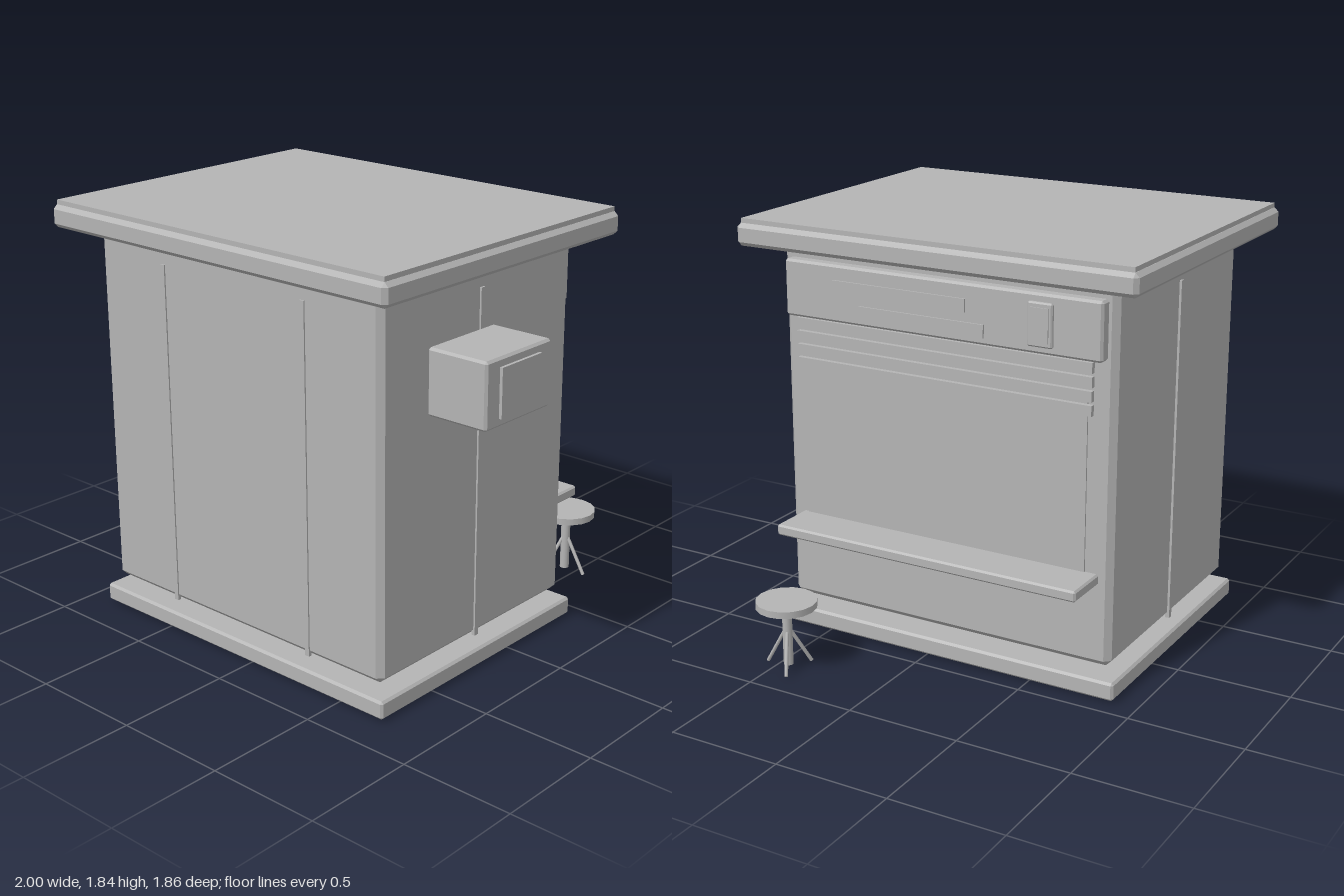
import * as THREE from 'three';
import { ConvexGeometry } from 'three/addons/geometries/ConvexGeometry.js';

export function createModel() {
  const kiosk = new THREE.Group();
  kiosk.name = 'kiosk';
  const grey = new THREE.MeshStandardMaterial({ color: 0xb4b4b4 });
  grey.name = 'plain grey';

  const add = (name, geometry, parent = kiosk) => {
    const mesh = new THREE.Mesh(geometry, grey);
    mesh.name = name;
    parent.add(mesh);
    return mesh;
  };

  // Box given by its limits on each axis; c is the chamfer on every edge
  const block = (name, [x0, x1], [y0, y1], [z0, z1], c = 0) => {
    const half = [(x1 - x0) / 2, (y1 - y0) / 2, (z1 - z0) / 2];
    let geometry;
    if (c > 0) {
      const points = [];
      for (const sx of [-1, 1]) for (const sy of [-1, 1]) for (const sz of [-1, 1]) {
        const signs = [sx, sy, sz];
        for (let axis = 0; axis < 3; axis++) {
          const p = half.map((h, i) => signs[i] * (i === axis ? h : h - c));
          points.push(new THREE.Vector3(...p));
        }
      }
      geometry = new ConvexGeometry(points);
    } else {
      geometry = new THREE.BoxGeometry(...half.map((h) => h * 2));
    }
    geometry.translate((x0 + x1) / 2, (y0 + y1) / 2, (z0 + z1) / 2);
    return add(name, geometry);
  };

  // Base, walls and roof
  block('basePlinth', [-0.895, 0.74], [0.01, 0.09], [-0.425, 0.83], 0.01);
  block('walls', [-0.858, 0.703], [0.135, 1.76], [-0.387, 0.795], 0.026);
  block('roof', [-1.0, 0.842], [1.728, 1.825], [-0.531, 0.93], 0.018);
  block('roofCap', [-0.98, 0.823], [1.82, 1.845], [-0.512, 0.912]);

  // Wall seams: two on the front, one on each side
  for (const x of [-0.47, 0.31]) {
    block('frontSeam', [x - 0.011, x + 0.011], [0.135, 1.635], [0.785, 0.801]);
  }
  for (const [x0, x1] of [[-0.868, -0.85], [0.695, 0.711]]) {
    block('sideSeam', [x0, x1], [0.135, 1.635], [0.19, 0.213]);
  }

  // Air conditioner on the left wall
  block('airConditioner', [0.7, 0.985], [1.19, 1.467], [0.122, 0.525], 0.01);
  block('airConditionerGrille', [0.98, 0.998], [1.226, 1.43], [0.2, 0.445]);

  // Serving side: window, shutter slats and counter
  block('servingWindow', [-0.74, 0.61], [0.53, 1.27], [-0.394, -0.38]);
  for (let i = 0; i < 4; i++) {
    const y = 1.404 - i * 0.058;
    block('shutterSlat', [-0.77, 0.62], [y - 0.022, y + 0.022], [-0.422, -0.4]);
  }
  block('counter', [-0.8, 0.638], [0.492, 0.54], [-0.592, -0.38], 0.008);

  // Sign board with raised bars and a small lamp box
  block('signBoard', [-0.82, 0.66], [1.434, 1.678], [-0.44, -0.38], 0.01);
  block('upperSignBar', [-0.215, 0.415], [1.56, 1.615], [-0.448, -0.43]);
  block('lowerSignBar', [-0.3, 0.29], [1.465, 1.52], [-0.448, -0.43]);
  block('lampBox', [-0.61, -0.5], [1.465, 1.645], [-0.455, -0.43], 0.006);
  block('lampFace', [-0.595, -0.515], [1.485, 1.625], [-0.46, -0.45]);

  // Stool with three splayed legs
  const stool = new THREE.Group();
  stool.name = 'stool';
  stool.position.set(0.447, 0, -0.799);
  kiosk.add(stool);
  add('stoolSeat', new THREE.CylinderGeometry(0.131, 0.131, 0.03, 16), stool).position.y = 0.295;
  add('stoolPost', new THREE.CylinderGeometry(0.021, 0.021, 0.27, 12), stool).position.y = 0.15;
  for (let i = 0; i < 3; i++) {
    const a = (i * Math.PI * 2) / 3;
    const top = new THREE.Vector3(Math.cos(a) * 0.012, 0.17, Math.sin(a) * 0.012);
    const foot = new THREE.Vector3(Math.cos(a) * 0.107, 0.005, Math.sin(a) * 0.107);
    const leg = add('stoolLeg', new THREE.CylinderGeometry(0.008, 0.008, top.distanceTo(foot), 8), stool);
    leg.position.copy(top).add(foot).multiplyScalar(0.5);
    leg.quaternion.setFromUnitVectors(new THREE.Vector3(0, 1, 0), top.clone().sub(foot).normalize());
  }
  return kiosk;
}
